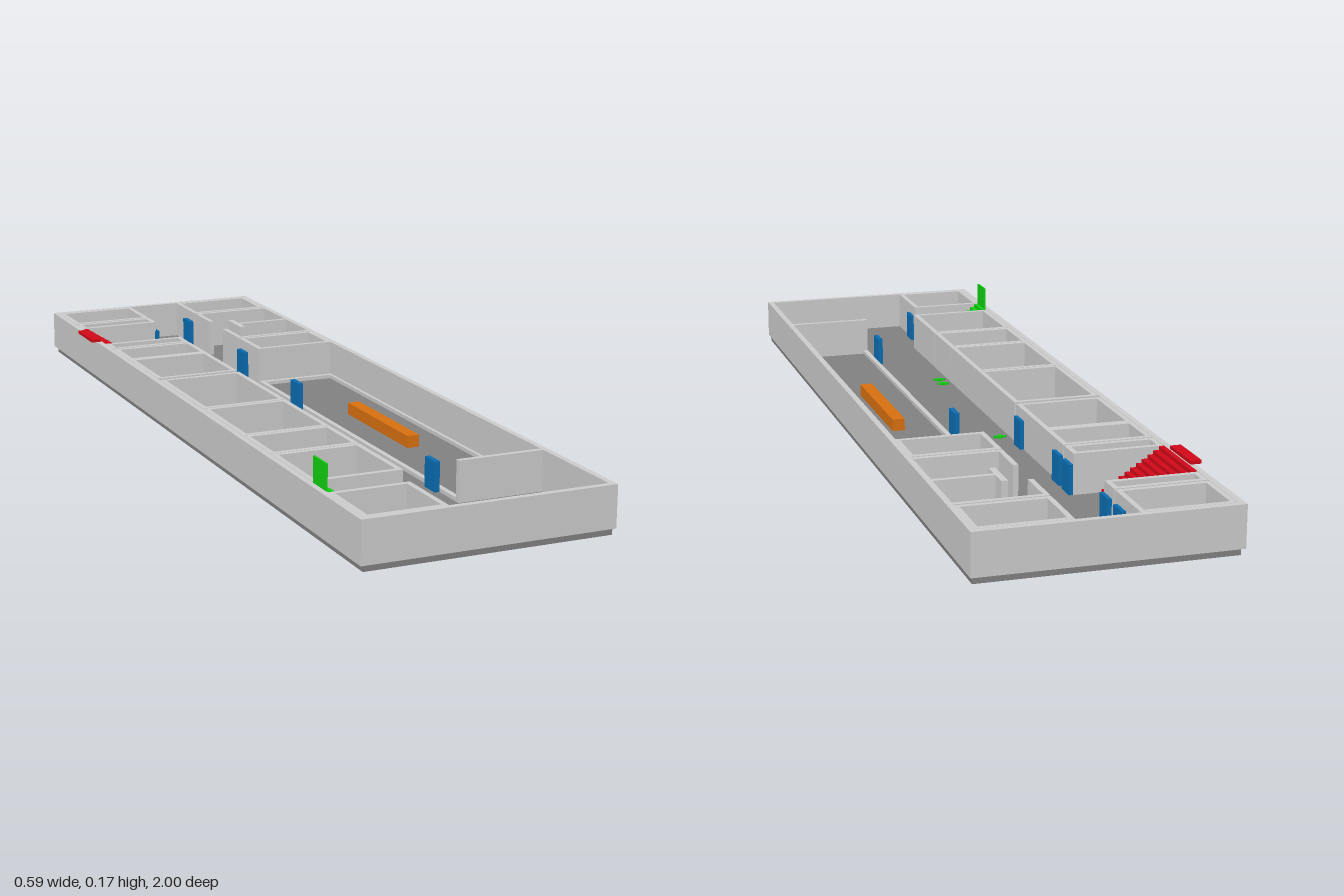
import * as THREE from 'three';

const mat = (color) => new THREE.MeshStandardMaterial({ color });
const GREY = mat(0xcccccc), FLOOR = mat(0x808080), BLUE = mat(0x0a6cb0), RED = mat(0xd00818),
  GREEN = mat(0x10d010), ORANGE = mat(0xd87010), INK = mat(0x2020d0);
const Y0 = 0.015, TOP = 0.11;

// box given by its limits on each axis
function block(parent, name, m, x0, x1, y0, y1, z0, z1) {
  const mesh = new THREE.Mesh(new THREE.BoxGeometry(x1 - x0, y1 - y0, z1 - z0), m);
  mesh.position.set((x0 + x1) / 2, (y0 + y1) / 2, (z0 + z1) / 2);
  mesh.name = name;
  parent.add(mesh);
  return mesh;
}

// rectangular ring of walls, open at the top
function ring(parent, name, x0, x1, z0, z1, t, top = TOP) {
  const s = new THREE.Shape([[x0, -z1], [x1, -z1], [x1, -z0], [x0, -z0]].map((p) => new THREE.Vector2(...p)));
  s.holes.push(new THREE.Path([[x0 + t, -z1 + t], [x0 + t, -z0 - t], [x1 - t, -z0 - t], [x1 - t, -z1 + t]]
    .map((p) => new THREE.Vector2(...p))));
  const geo = new THREE.ExtrudeGeometry(s, { depth: top - Y0, bevelEnabled: false });
  geo.rotateX(-Math.PI / 2);
  const mesh = new THREE.Mesh(geo, GREY);
  mesh.position.y = Y0;
  mesh.name = name;
  parent.add(mesh);
}

// straight flight, high end at the outer wall, as one stepped profile
function stairs(parent, name, m, x0, x1, z0, z1, steps) {
  const s = new THREE.Shape();
  const dx = (x1 - x0) / steps, dy = (TOP - Y0) / steps;
  s.moveTo(x0, Y0);
  s.lineTo(x1, Y0);
  for (let i = 0; i < steps; i++) {
    s.lineTo(x1 - i * dx, Y0 + (i + 1) * dy);
    s.lineTo(x1 - (i + 1) * dx, Y0 + (i + 1) * dy);
  }
  const mesh = new THREE.Mesh(new THREE.ExtrudeGeometry(s, { depth: z1 - z0, bevelEnabled: false }), m);
  mesh.position.z = z0;
  mesh.name = name;
  parent.add(mesh);
}

// small flat person lying on the floor, head toward -x
function figure(parent, name, m, x, z, s) {
  const g = new THREE.Group();
  g.name = name;
  const head = new THREE.Mesh(new THREE.CylinderGeometry(0.15, 0.15, 0.2, 12), m);
  head.position.set(-0.4, 0.1, 0);
  head.name = 'head';
  g.add(head);
  block(g, 'body', m, -0.22, 0.15, 0, 0.2, -0.17, 0.17);
  for (const side of [-1, 1]) {
    block(g, 'arm', m, -0.2, 0.1, 0, 0.2, side * 0.27 - 0.05, side * 0.27 + 0.05);
    block(g, 'leg', m, 0.15, 0.5, 0, 0.2, side * 0.1 - 0.06, side * 0.1 + 0.06);
  }
  g.scale.setScalar(s);
  g.position.set(x, Y0, z);
  parent.add(g);
}

export function createModel() {
  const model = new THREE.Group();
  model.name = 'buildingFloorPlan';

  // slab and outer walls
  block(model, 'floorSlab', FLOOR, -0.275, 0.29, 0, Y0 + 0.001, -0.993, 0.993);
  ring(model, 'outerWalls', -0.283, 0.295, -1, 1, 0.014);

  // rooms along the right-hand side of the corridor
  const rooms = new THREE.Group();
  rooms.name = 'rooms';
  model.add(rooms);
  const west = [[-0.985, -0.84], [-0.835, -0.778], [-0.587, -0.525], [-0.52, -0.397], [-0.397, -0.185],
    [-0.172, 0.117], [0.12, 0.365], [0.367, 0.52], [0.522, 0.735]];
  for (const [z0, z1] of west) ring(rooms, 'sideRoom', -0.268, -0.06, z0, z1, 0.012);
  ring(rooms, 'cornerStorage', -0.27, -0.085, 0.815, 0.988, 0.012);

  // rooms on the other side
  ring(rooms, 'laundryRoom', 0.077, 0.285, -0.985, -0.84, 0.012);
  ring(rooms, 'trainingRoom', 0.077, 0.285, -0.508, -0.375, 0.012);

  // washrooms with two open entrances and a T-shaped screen
  for (const [x0, x1, z0, z1] of [
    [0.077, 0.285, -0.835, -0.823], [0.077, 0.285, -0.525, -0.513],
    [0.077, 0.089, -0.823, -0.725], [0.077, 0.089, -0.625, -0.525],
    [0.13, 0.145, -0.72, -0.63], [0.145, 0.285, -0.679, -0.667],
  ]) block(rooms, 'washroomWall', GREY, x0, x1, Y0, TOP, z0, z1);

  // sports hall: low kerb all round, full wall at the front end
  ring(rooms, 'hallKerb', 0.077, 0.285, -0.37, 0.725, 0.012, 0.025);
  block(rooms, 'hallFrontWall', GREY, 0.077, 0.285, Y0, TOP, 0.713, 0.725);

  // doors on both sides of the corridor
  const doors = [[-0.055, -0.88], [-0.055, -0.8], [-0.055, -0.562], [-0.055, -0.495], [-0.055, -0.22],
    [-0.08, 0.845], [0.073, -0.875], [0.073, -0.47], [0.073, -0.115], [0.073, 0.615]];
  for (const [x, z] of doors)
    block(model, 'door', BLUE, x - 0.008, x + 0.004, Y0, 0.085, z - 0.024, z + 0.024);

  // stairs, upright panel and blocked-exit marker
  stairs(model, 'redStairs', RED, -0.27, -0.125, -0.772, -0.588, 11);
  stairs(model, 'greenStairs', GREEN, -0.27, -0.125, 0.742, 0.81, 11);
  block(model, 'exitPanel', GREEN, -0.27, -0.266, TOP, 0.168, 0.745, 0.808);
  block(model, 'blockedMarker', RED, -0.297, -0.272, TOP, 0.118, -0.73, -0.615);

  // plain raised strips marking the rooms: x centre, z range, width, height
  const strips = [
    [-0.13, -0.965, -0.88, 0.018, 0.01], [-0.16, -0.965, -0.88, 0.018, 0.01], [-0.21, -0.965, -0.88, 0.018, 0.01],
    [-0.145, -0.36, -0.21, 0.022, 0.01], [-0.185, -0.36, -0.27, 0.022, 0.01],
    [-0.115, -0.145, 0.085, 0.025, 0.01], [-0.16, -0.14, 0.05, 0.025, 0.01], [-0.205, -0.14, -0.03, 0.025, 0.01],
    [-0.12, 0.155, 0.32, 0.025, 0.01], [-0.165, 0.155, 0.34, 0.025, 0.01], [-0.205, 0.155, 0.29, 0.025, 0.01],
    [-0.13, 0.39, 0.46, 0.02, 0.01], [-0.165, 0.39, 0.49, 0.02, 0.01], [-0.205, 0.39, 0.48, 0.02, 0.01],
    [-0.13, 0.595, 0.665, 0.027, 0.01], [-0.18, 0.59, 0.69, 0.027, 0.01], [-0.215, 0.845, 0.95, 0.018, 0.01],
    [0.2, -0.965, -0.86, 0.018, 0.01], [0.165, -0.965, -0.89, 0.018, 0.01],
    [0.205, -0.48, -0.45, 0.022, 0.01], [0.165, -0.48, -0.4, 0.022, 0.01],
    [0.19, 0.78, 0.955, 0.03, 0.015], [0.18, -0.015, 0.31, 0.03, 0.03],
  ];
  for (const [x, z0, z1, w, h] of strips)
    block(model, 'roomMarker', ORANGE, x - w / 2, x + w / 2, Y0, Y0 + h, z0, z1);
  // storage and office markers run across the corridor
  for (const z of [-0.805, -0.555])
    block(model, 'roomMarker', ORANGE, -0.215, -0.12, Y0, Y0 + 0.01, z - 0.01, z + 0.01);

  // washroom and locker figures
  figure(model, 'redFigure', RED, 0.185, -0.765, 0.05);
  figure(model, 'blueFigure', INK, 0.185, -0.582, 0.05);
  for (const z of [-0.138, 0.35, 0.39]) figure(model, 'greenFigure', GREEN, -0.035, z, 0.028);

  return model;
}
